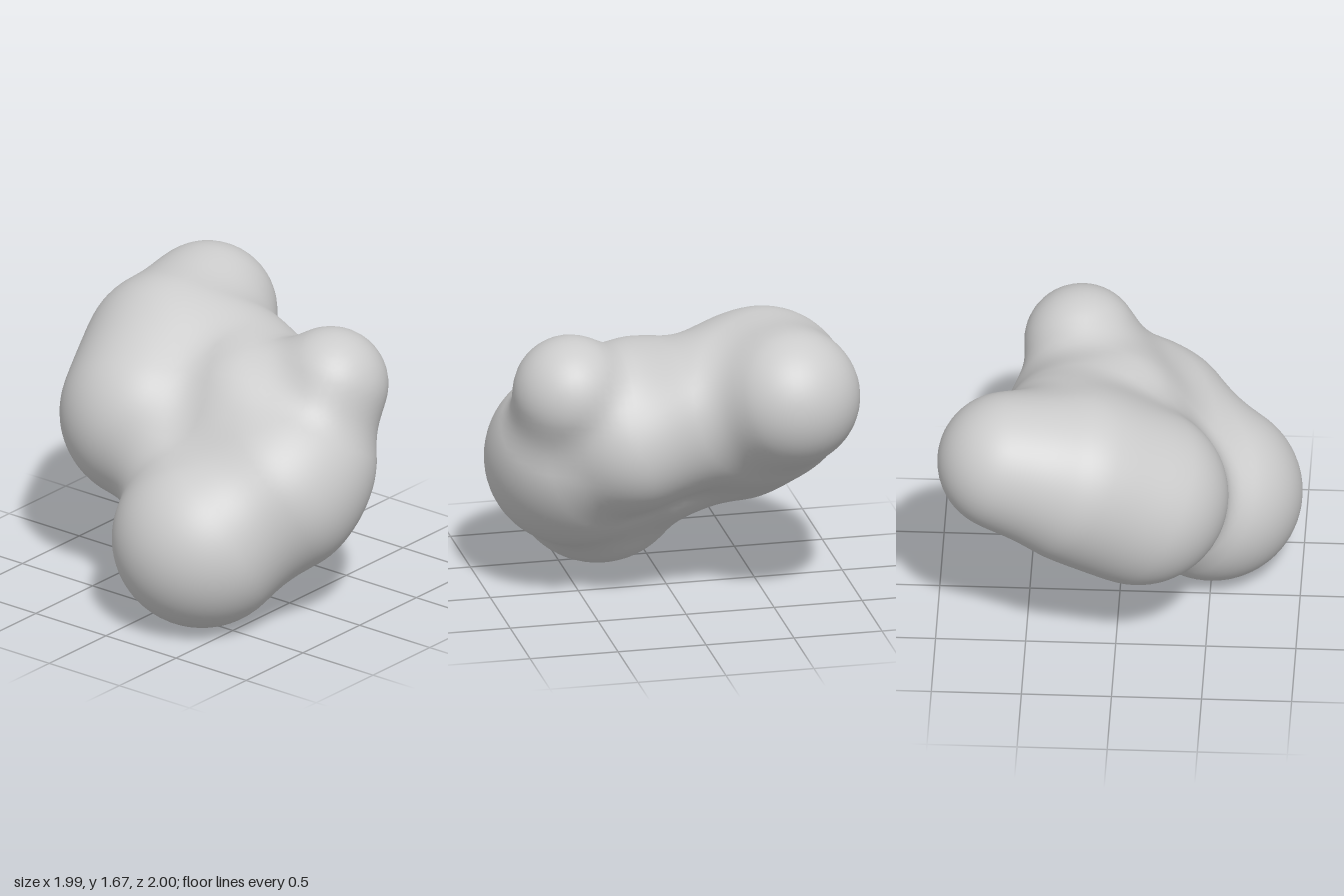
import * as THREE from 'three';

// Lobes of the body: centre x, y, z and radius
const LOBES = [
  [-0.5, 0.5, 0.28, 0.5],     // low left lobe
  [-0.19, 0.73, 0.02, 0.41],  // filling between low left and back lobes
  [-0.13, 0.75, 0.5, 0.495],  // front belly
  [0.07, 0.89, 0.56, 0.385],  // front shoulder
  [0.24, 1.27, 0.6, 0.32],    // front knob
  [0.07, 1.04, 0.18, 0.44],   // bridge
  [0.28, 0.96, 0.24, 0.375],  // side bulge
  [0.27, 1.11, -0.14, 0.42],  // saddle between front and back
  [-0.12, 0.95, -0.4, 0.5],   // back lobe
  [0.2, 1.15, -0.5, 0.495],   // back crown
  [0.6, 1.28, -0.57, 0.387],  // far knob
];
const BLEND = 0.16;

// Signed distance to the lobes, joined with soft fillets
function field(x, y, z) {
  let d = 10;
  for (const [cx, cy, cz, r] of LOBES) {
    const s = Math.hypot(x - cx, y - cy, z - cz) - r;
    const h = Math.max(BLEND - Math.abs(d - s), 0) / BLEND;
    d = Math.min(d, s) - h * h * BLEND / 4;
  }
  return d;
}

function gradient(p) {
  const e = 0.002;
  return new THREE.Vector3(
    field(p.x + e, p.y, p.z) - field(p.x - e, p.y, p.z),
    field(p.x, p.y + e, p.z) - field(p.x, p.y - e, p.z),
    field(p.x, p.y, p.z + e) - field(p.x, p.y, p.z - e)
  ).divideScalar(2 * e);
}

// Skin over the field: one vertex per crossed cell, one quad per crossed edge
function skinGeometry() {
  const step = 0.045, n = 50, origin = [-1.12, -0.12, -1.12];
  const stride = [1, n, n * n];
  const values = new Float32Array(n ** 3);
  for (let k = 0; k < n; k++)
    for (let j = 0; j < n; j++)
      for (let i = 0; i < n; i++)
        values[i + j * n + k * n * n] = field(
          origin[0] + i * step, origin[1] + j * step, origin[2] + k * step);

  const positions = [], normals = [], indices = [], vertexOf = new Map();
  const cellVertex = (cell) => {
    if (vertexOf.has(cell)) return vertexOf.get(cell);
    const i = cell % n, j = Math.floor(cell / n) % n, k = Math.floor(cell / (n * n));
    // Average the points where the cell's edges cross the surface
    const p = new THREE.Vector3();
    let count = 0;
    for (let c = 0; c < 8; c++) {
      for (let a = 0; a < 3; a++) {
        if (c & (1 << a)) continue;
        const at = [c & 1, (c >> 1) & 1, (c >> 2) & 1];
        const v = cell + at[0] + at[1] * n + at[2] * n * n;
        const f0 = values[v], f1 = values[v + stride[a]];
        if ((f0 < 0) === (f1 < 0)) continue;
        at[a] += f0 / (f0 - f1);
        p.add(new THREE.Vector3(...at));
        count++;
      }
    }
    p.divideScalar(count);
    p.set(origin[0] + (i + p.x) * step, origin[1] + (j + p.y) * step, origin[2] + (k + p.z) * step);
    // Settle the point on the surface
    for (let t = 0; t < 2; t++) p.addScaledVector(gradient(p), -field(p.x, p.y, p.z));
    const index = positions.length / 3;
    positions.push(p.x, p.y, p.z);
    normals.push(...gradient(p).normalize().toArray());
    vertexOf.set(cell, index);
    return index;
  };

  for (let k = 1; k < n - 1; k++)
    for (let j = 1; j < n - 1; j++)
      for (let i = 1; i < n - 1; i++) {
        const v = i + j * n + k * n * n;
        for (let a = 0; a < 3; a++) {
          const inside = values[v] < 0;
          if (inside === values[v + stride[a]] < 0) continue;
          const b = stride[(a + 1) % 3], c = stride[(a + 2) % 3];
          const quad = [v - b - c, v - c, v, v - b].map(cellVertex);
          if (!inside) quad.reverse();
          indices.push(quad[0], quad[1], quad[2], quad[0], quad[2], quad[3]);
        }
      }

  const geometry = new THREE.BufferGeometry();
  geometry.setAttribute('position', new THREE.Float32BufferAttribute(positions, 3));
  geometry.setAttribute('normal', new THREE.Float32BufferAttribute(normals, 3));
  geometry.setIndex(indices);
  return geometry;
}

export function createModel() {
  const model = new THREE.Group();
  model.name = 'lobedBlob';
  const body = new THREE.Mesh(skinGeometry(), new THREE.MeshStandardMaterial({ color: 0xcccccc }));
  body.name = 'body';
  model.add(body);
  return model;
}
